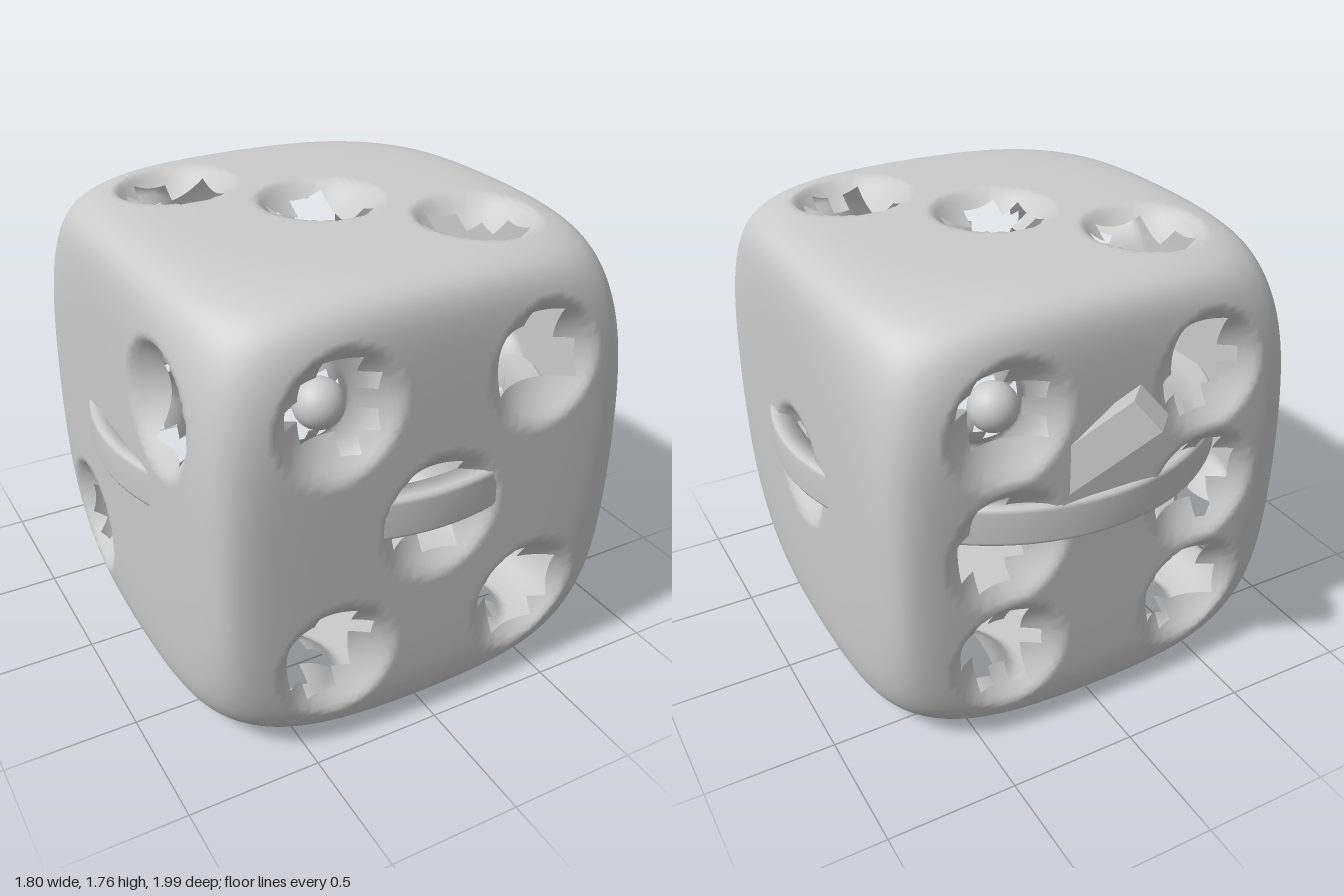
import * as THREE from 'three';
import { mergeVertices } from 'three/addons/utils/BufferGeometryUtils.js';

const CENTRE = new THREE.Vector3(0, 0.875, 0.09);
const HALF = new THREE.Vector3(0.845, 0.878, 0.875);
const CELLS = 25; // coarse cells per face, used for the stepped pip holes
const SUB = 3;    // finer steps inside each cell

const V = (x, y, z) => new THREE.Vector3(x, y, z);

// Each face: right, up and outward axes, and pip centres in cells from the middle
const FACES = [
  { u: V(1, 0, 0), v: V(0, 1, 0), n: V(0, 0, 1), pips: [[-6, 7], [6, 7], [0, 0], [-6, -7], [6, -7]] },
  { u: V(-1, 0, 0), v: V(0, 1, 0), n: V(0, 0, -1), pips: [[-6, 7], [6, 7], [-6, 0], [6, 0], [-6, -7], [6, -7]] },
  { u: V(0, 0, -1), v: V(0, 1, 0), n: V(1, 0, 0), pips: [[0, 0]] },
  { u: V(0, 0, 1), v: V(0, 1, 0), n: V(-1, 0, 0), pips: [[6, 6], [-6, -7]] },
  { u: V(1, 0, 0), v: V(0, 0, -1), n: V(0, 1, 0), pips: [[-6, 6], [0, 0], [6, -6]] },
  { u: V(1, 0, 0), v: V(0, 0, 1), n: V(0, -1, 0), pips: [[-6, 6], [6, 6], [-6, -6], [6, -6]] },
];

// Repeatable uneven value from 0 to 1
const hash = (a, b, c) => {
  const s = Math.sin(a * 12.99 + b * 78.23 + c * 37.72) * 43758.55;
  return s - Math.floor(s);
};

// Pull a point of the unit cube in to a soft cube with rounded corners
function soften(p) {
  const sum = Math.abs(p.x) ** 14 + Math.abs(p.y) ** 14 + Math.abs(p.z) ** 14;
  const cube = sum ** (-1 / 14) * p.length();
  const ball = 1.47;
  const r = (cube ** -16 + ball ** -16) ** (-1 / 16);
  return p.setLength(r);
}

// Hollow shell: a grid on every face with ragged, dented pip holes left out
function shellGeometry() {
  const pos = [], idx = [];
  const N = CELLS * SUB, mid = (CELLS - 1) / 2;
  FACES.forEach((f, k) => {
    const base = pos.length / 3;
    for (let j = 0; j <= N; j++) {
      for (let i = 0; i <= N; i++) {
        const a = (i / N) * 2 - 1, b = (j / N) * 2 - 1;
        const p = f.n.clone().addScaledVector(f.u, a).addScaledVector(f.v, b);
        soften(p).multiply(HALF).add(CENTRE);
        let dent = 0;
        for (const [pu, pv] of f.pips) {
          const d = Math.hypot(a * CELLS / 2 - pu, b * CELLS / 2 - pv) / 3.4;
          dent = Math.max(dent, 0.13 * (1 - d * d));
        }
        p.addScaledVector(f.n, -dent);
        pos.push(p.x, p.y, p.z);
      }
    }
    const isHole = (ci, cj) => f.pips.some(([pu, pv]) => {
      const du = ci - mid - pu, dv = cj - mid - pv, d2 = du * du + dv * dv;
      return d2 < 4 || (d2 <= 5 && hash(ci, cj, k) < 0.6);
    });
    for (let j = 0; j < N; j++) {
      for (let i = 0; i < N; i++) {
        if (isHole(Math.floor(i / SUB), Math.floor(j / SUB))) continue;
        const q = base + j * (N + 1) + i, r = q + N + 1;
        idx.push(q, q + 1, r + 1, q, r + 1, r);
      }
    }
  });
  const g = new THREE.BufferGeometry();
  g.setAttribute('position', new THREE.Float32BufferAttribute(pos, 3));
  g.setIndex(idx);
  const merged = mergeVertices(g, 1e-4);
  merged.computeVertexNormals();
  return merged;
}

// Flat band with rounded rims that pokes out at the middle of each side
function ringGeometry() {
  const ro = 0.9, ri = 0.81, h = 0.08, c = 0.02;
  const profile = [
    [ri, -h], [ro - c, -h], [ro - 0.006, -h + 0.006], [ro, -h + c],
    [ro, h - c], [ro - 0.006, h - 0.006], [ro - c, h], [ri, h], [ri, -h],
  ].map(([x, y]) => new THREE.Vector2(x, y));
  return new THREE.LatheGeometry(profile, 96);
}

export function createModel() {
  const group = new THREE.Group();
  const grey = new THREE.MeshStandardMaterial({ color: 0xcccccc, side: THREE.DoubleSide });
  const add = (name, geometry) => {
    const mesh = new THREE.Mesh(geometry, grey);
    mesh.name = name;
    group.add(mesh);
    return mesh;
  };

  add('dieShell', shellGeometry());
  add('ring', ringGeometry()).position.set(0, 0.92, 0.09);

  // Ball held in the middle of the shell
  add('innerBall', new THREE.SphereGeometry(0.11, 32, 20)).position.set(0, 0.9, 0.09);

  // Square bar slanting out through the back
  const length = 0.5;
  const inward = V(0.5, -0.707, 0.5);
  const side = V(0.707, 0, -0.707);
  const bar = add('slantedBar', new THREE.BoxGeometry(0.12, length, 0.14));
  const axisY = inward.clone().negate();
  bar.quaternion.setFromRotationMatrix(
    new THREE.Matrix4().makeBasis(side, axisY, side.clone().cross(axisY)));
  bar.position.set(-0.05, 1.38, -0.92).addScaledVector(inward, length / 2);

  return group;
}
